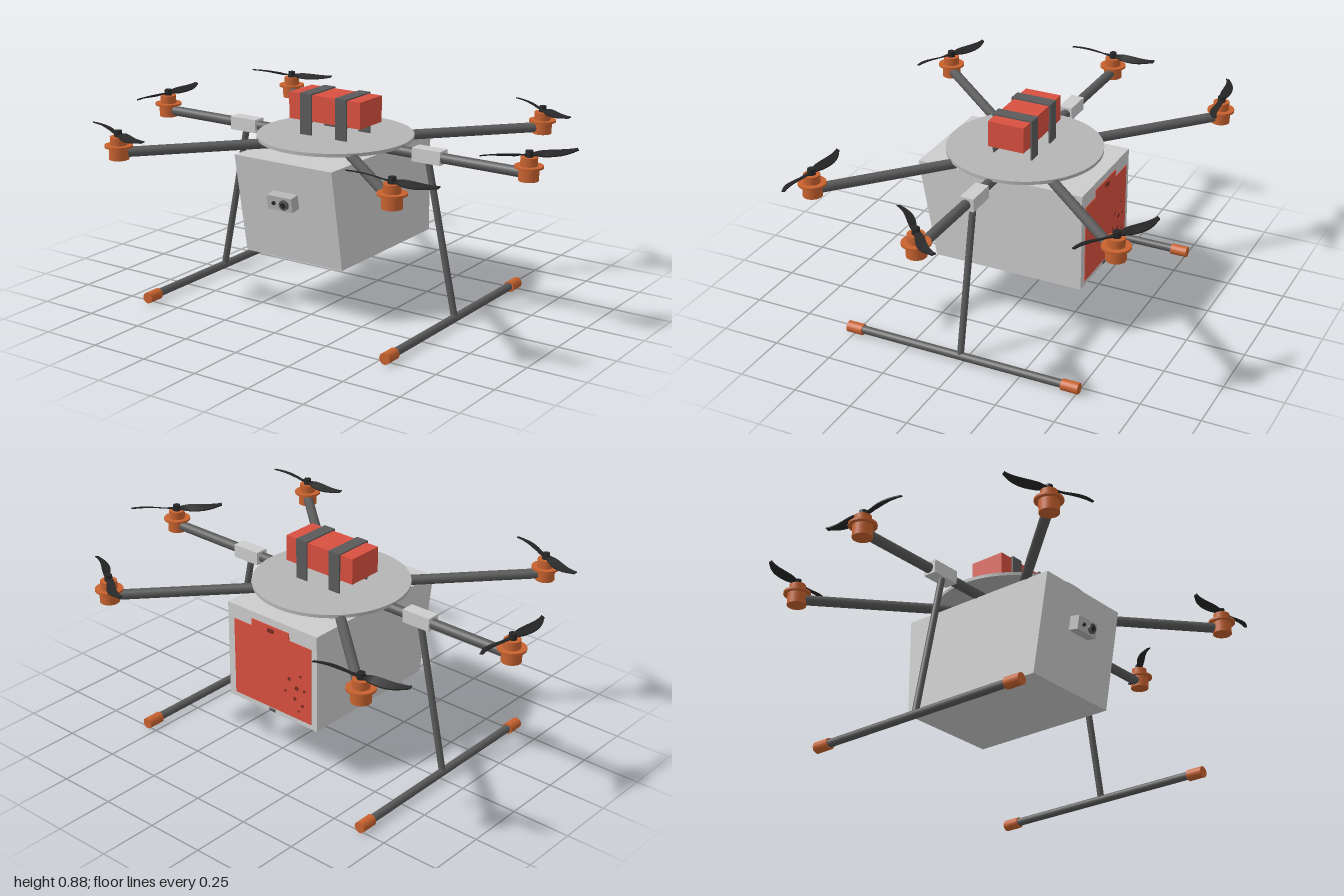
import * as THREE from 'three';

const mat = (color) => new THREE.MeshStandardMaterial({ color });
const grey = mat(0xcccccc);
const plateGrey = mat(0xb4b4b4);
const dark = mat(0x5a5a5a);
const black = mat(0x262626);
const orange = mat(0xc8622f);
const red = mat(0xd8503f);
const maroon = mat(0x7a2a22);

const HUB = new THREE.Vector3(-0.045, 0.682, 0.007);

function add(parent, name, geometry, material, x = 0, y = 0, z = 0) {
  const mesh = new THREE.Mesh(geometry, material);
  mesh.name = name;
  mesh.position.set(x, y, z);
  parent.add(mesh);
  return mesh;
}

// Round bar between two points
function bar(parent, name, a, b, radius, material, sides = 20) {
  const dir = b.clone().sub(a);
  const mesh = add(parent, name, new THREE.CylinderGeometry(radius, radius, dir.length(), sides), material);
  mesh.position.copy(a).add(b).multiplyScalar(0.5);
  mesh.quaternion.setFromUnitVectors(new THREE.Vector3(0, 1, 0), dir.normalize());
  return mesh;
}

// Two swept, twisted blades shaped from one thin box
function propellerGeometry() {
  const half = 0.197;
  const geo = new THREE.BoxGeometry(2 * half, 0.005, 1, 40, 1, 4);
  const pos = geo.attributes.position;
  for (let i = 0; i < pos.count; i++) {
    const u = pos.getX(i), t = Math.abs(u) / half, s = Math.sign(u);
    const chord = 0.02 + 0.021 * Math.sin(Math.PI * Math.min(1, t * 1.05)) - 0.004 * t;
    const w = pos.getZ(i) * chord;
    const pitch = s * 0.5 * Math.min(1, t * 4) * (1 - 0.5 * t);
    const sweep = s * 0.02 * Math.sin(Math.PI * Math.min(1, t)) * t * 1.3;
    pos.setZ(i, w * Math.cos(pitch) + sweep);
    pos.setY(i, pos.getY(i) - w * Math.sin(pitch) + 0.008 * t * t);
  }
  geo.computeVertexNormals();
  return geo;
}

// Motor silhouette: body, wide flange, narrower bell
function motorGeometry() {
  const steps = [[0.04, 0.655, 0.705], [0.057, 0.705, 0.714], [0.034, 0.714, 0.748]];
  const group = new THREE.Group();
  steps.forEach(([r, y0, y1], i) =>
    add(group, ['motorBody', 'motorFlange', 'motorBell'][i],
      new THREE.CylinderGeometry(r, r, y1 - y0, 32), orange, 0, (y0 + y1) / 2, 0));
  return group;
}

function createRotor(x, z, angle) {
  const rotor = new THREE.Group();
  rotor.name = 'rotor';
  rotor.add(...motorGeometry().children);
  const prop = add(rotor, 'propeller', propellerGeometry(), black, 0, 0.757, 0);
  prop.rotation.y = angle;
  add(rotor, 'propellerHub', new THREE.CylinderGeometry(0.015, 0.017, 0.026, 20), black, 0, 0.76, 0);
  rotor.position.set(x, 0, z);
  return rotor;
}

function createCargoBox() {
  const box = new THREE.Group();
  box.name = 'cargoBox';

  // Body with a sloping front, drawn as a side profile
  const profile = new THREE.Shape([[-0.355, 0.24], [0.302, 0.24], [0.375, 0.663], [-0.355, 0.663]]
    .map(([z, y]) => new THREE.Vector2(z, y)));
  const body = new THREE.ExtrudeGeometry(profile, { depth: 0.473, bevelEnabled: false });
  body.rotateY(-Math.PI / 2);
  add(box, 'boxBody', body, grey, 0.19, 0, 0);

  // Rear door with a raised tab on its upper edge
  const door = new THREE.Shape([[-0.255, 0.262], [0.155, 0.262], [0.155, 0.6], [0.06, 0.6],
    [0.06, 0.632], [-0.14, 0.632], [-0.14, 0.6], [-0.255, 0.6]]
    .map(([x, y]) => new THREE.Vector2(x, y)));
  add(box, 'rearDoor', new THREE.ExtrudeGeometry(door, { depth: 0.004, bevelEnabled: false }), red, 0, 0, -0.358);
  const specks = [[-0.14, 0.43, 0.008], [-0.18, 0.4, 0.01], [-0.2, 0.46, 0.006], [-0.17, 0.35, 0.008],
    [-0.21, 0.33, 0.007], [-0.22, 0.4, 0.006], [-0.12, 0.37, 0.006], [-0.19, 0.3, 0.005]];
  for (const [x, y, r] of specks) {
    const speck = add(box, 'doorVent', new THREE.CylinderGeometry(r, r, 0.002, 14), maroon, x, y, -0.3585);
    speck.rotation.x = Math.PI / 2;
  }
  add(box, 'upperLatch', new THREE.BoxGeometry(0.03, 0.016, 0.008), maroon, -0.045, 0.612, -0.36);
  add(box, 'lowerHinge', new THREE.BoxGeometry(0.03, 0.012, 0.006), dark, -0.045, 0.25, -0.356);

  // Camera pod set square to the sloping front
  const camera = new THREE.Group();
  camera.name = 'cameraPod';
  add(camera, 'podBody', new THREE.BoxGeometry(0.12, 0.06, 0.05), plateGrey, 0, 0, 0.02);
  [[0.024, 0.021, 0.02], [0.024, 0.012, 0.024], [-0.027, 0.008, 0.012]].forEach(([x, r, depth], i) => {
    const lens = add(camera, 'lens', new THREE.CylinderGeometry(r, r, depth, 24), i === 0 ? dark : black, x, 0, 0.045);
    lens.rotation.x = Math.PI / 2;
  });
  camera.position.set(-0.048, 0.508, 0.348);
  camera.rotation.x = 0.172;
  box.add(camera);
  return box;
}

function createBattery() {
  const battery = new THREE.Group();
  battery.name = 'battery';
  add(battery, 'batteryPack', new THREE.BoxGeometry(0.35, 0.11, 0.158), red, -0.045, 0.819, 0.008);
  // Straps loop over the pack and stand on the top plate
  for (const x of [-0.131, 0.042]) {
    add(battery, 'strapTop', new THREE.BoxGeometry(0.055, 0.007, 0.176), dark, x, 0.876, 0.009);
    add(battery, 'strapUnder', new THREE.BoxGeometry(0.055, 0.005, 0.17), dark, x, 0.763, 0.009);
    for (const side of [-1, 1])
      add(battery, 'strapSide', new THREE.BoxGeometry(0.055, 0.175, 0.007), dark, x, 0.7885, 0.009 + side * 0.0845);
  }
  return battery;
}

function createLandingGear(side) {
  const gear = new THREE.Group();
  gear.name = side > 0 ? 'leftLandingGear' : 'rightLandingGear';
  const at = (dx, y, z) => new THREE.Vector3(-0.048 + side * dx, y, z);
  bar(gear, 'leg', at(0.452, 0.67, 0.012), at(0.587, 0.03, 0.012), 0.014, dark);
  bar(gear, 'skid', at(0.588, 0.025, -0.48), at(0.588, 0.025, 0.5), 0.017, dark);
  bar(gear, 'skidCap', at(0.588, 0.0235, 0.46), at(0.588, 0.0235, 0.53), 0.0235, orange);
  bar(gear, 'skidCap', at(0.588, 0.0235, -0.51), at(0.588, 0.0235, -0.437), 0.0235, orange);
  add(gear, 'armClamp', new THREE.BoxGeometry(0.13, 0.056, 0.058), grey, -0.048 + side * 0.455, 0.683, 0.006);
  return gear;
}

export function createModel() {
  const drone = new THREE.Group();
  drone.name = 'deliveryDrone';

  add(drone, 'topPlate', new THREE.CylinderGeometry(0.324, 0.324, 0.014, 72), plateGrey, HUB.x, 0.7, HUB.z);

  // Six arms, each ending in a rotor: x, z, propeller angle
  const rotors = [[-0.943, 0, Math.PI / 2], [0.855, 0.014, 0.84], [-0.71, -0.6, 0.21],
    [0.56, -0.655, -0.5], [-0.64, 0.664, -0.34], [0.62, 0.61, 0]];
  for (const [x, z, angle] of rotors) {
    bar(drone, 'arm', HUB, new THREE.Vector3(x, HUB.y, z), 0.021, dark);
    drone.add(createRotor(x, z, angle));
  }

  drone.add(createCargoBox(), createBattery(), createLandingGear(1), createLandingGear(-1));
  return drone;
}
